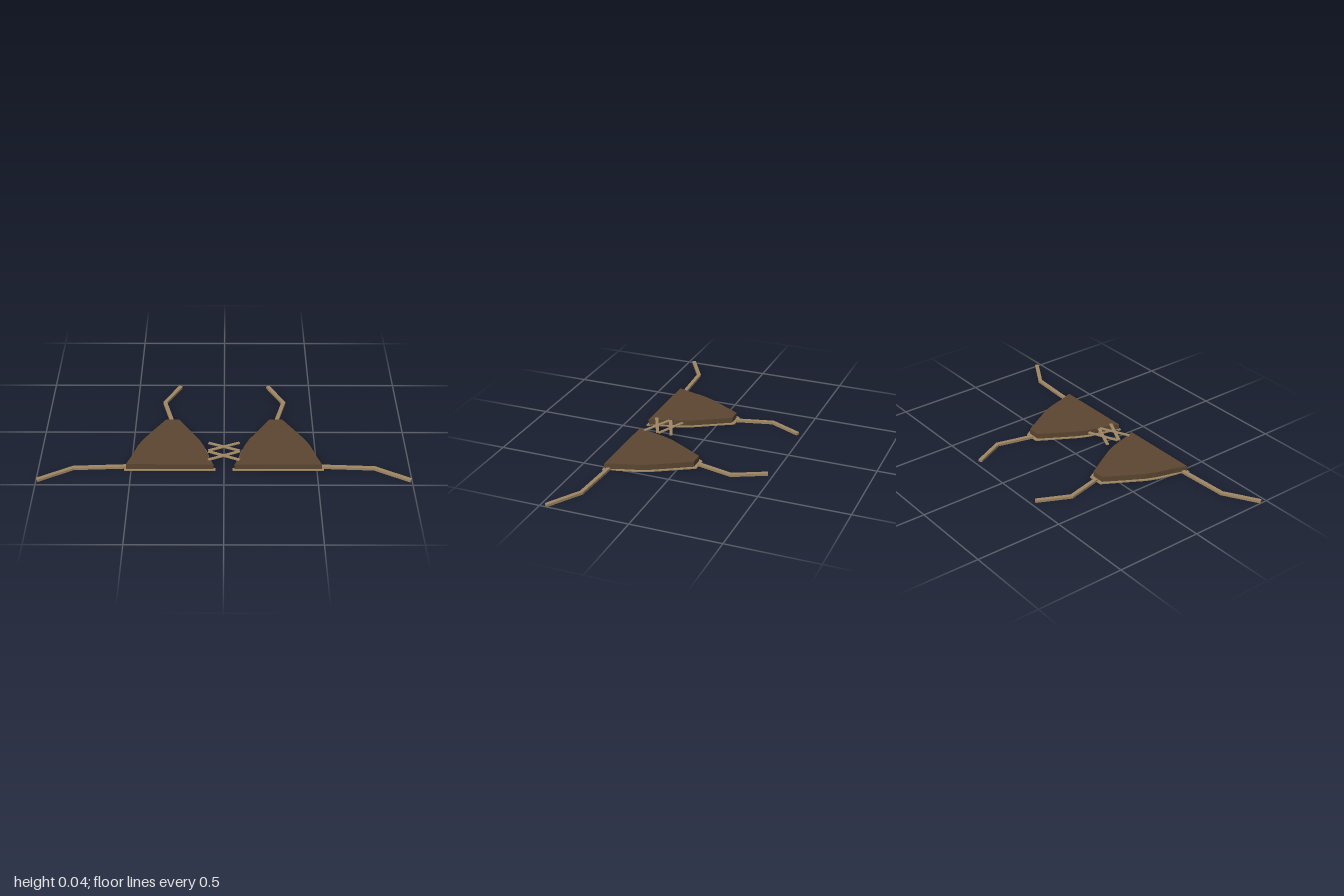
import * as THREE from 'three';

const leather = new THREE.MeshStandardMaterial({ color: 0x5c4631 });
leather.name = 'dark leather';
const cord = new THREE.MeshStandardMaterial({ color: 0x9f8763 });
cord.name = 'tan cord';

// Flat slab lying on the ground plane from an outline of [x, z] points
function slab(name, outline, y0, y1, material) {
  const shape = new THREE.Shape(outline.map(([x, z]) => new THREE.Vector2(x, -z)));
  const geo = new THREE.ExtrudeGeometry(shape, { depth: y1 - y0, bevelEnabled: false });
  geo.rotateX(-Math.PI / 2);
  geo.translate(0, y0, 0);
  const mesh = new THREE.Mesh(geo, material);
  mesh.name = name;
  return mesh;
}

// Outline of a constant-width band with mitred corners along a path
function band(path, width) {
  const pts = path.map(([x, z]) => new THREE.Vector2(x, z));
  const left = [], right = [];
  pts.forEach((p, i) => {
    const a = p.clone().sub(pts[i - 1] || p).normalize();
    const b = (pts[i + 1] || p).clone().sub(p).normalize();
    const t = a.clone().add(b).normalize();
    const n = new THREE.Vector2(-t.y, t.x);
    const seg = i ? a : b;
    const r = width / 2 / Math.abs(n.dot(new THREE.Vector2(-seg.y, seg.x)));
    left.push([p.x + n.x * r, p.y + n.y * r]);
    right.unshift([p.x - n.x * r, p.y - n.y * r]);
  });
  return [...left, ...right];
}

// Symmetric cup outline from [half width, z] rows
function cupOutline(rows, cx) {
  return [
    ...rows.map(([w, z]) => [cx + w, z]),
    ...rows.slice().reverse().map(([w, z]) => [cx - w, z]),
  ];
}

const TRIM = [[0.043, -0.093], [0.12, 0.04], [0.17, 0.125], [0.195, 0.185], [0.222, 0.29], [0.232, 0.35], [0.246, 0.355], [0.246, 0.372]];
const CUP = [[0.036, -0.075], [0.105, 0.04], [0.157, 0.13], [0.182, 0.19], [0.21, 0.29], [0.235, 0.363]];

export function createModel() {
  const group = new THREE.Group();
  group.name = 'laced top';

  for (const [side, s] of [['left', 1], ['right', -1]]) {
    const mirror = (path) => path.map(([x, z]) => [x * s, z]);

    // Padded cup over a slightly larger trim sheet
    group.add(slab(side + 'Trim', cupOutline(TRIM, 0.292 * s), 0, 0.006, cord));
    group.add(slab(side + 'Cup', cupOutline(CUP, 0.292 * s), 0.006, 0.037, leather));

    // Neck and back straps
    const neck = mirror([[0.292, -0.085], [0.343, -0.293], [0.257, -0.471]]);
    const back = mirror([[0.52, 0.341], [0.81, 0.356], [0.994, 0.465]]);
    group.add(slab(side + 'NeckStrap', band(neck, 0.022), 0, 0.014, cord));
    group.add(slab(side + 'BackStrap', band(back, 0.022), 0, 0.014, cord));

    // Crossed laces between the cups
    [[0.163, 0.238], [0.245, 0.325]].forEach(([z0, z1], i) => {
      const path = mirror([[-0.085, z0], [0.085, z1]]);
      const y = s > 0 ? 0.037 : 0.038;
      group.add(slab(side + 'Lace' + (i + 1), band(path, 0.018), y, y + 0.005, cord));
    });
  }
  return group;
}
